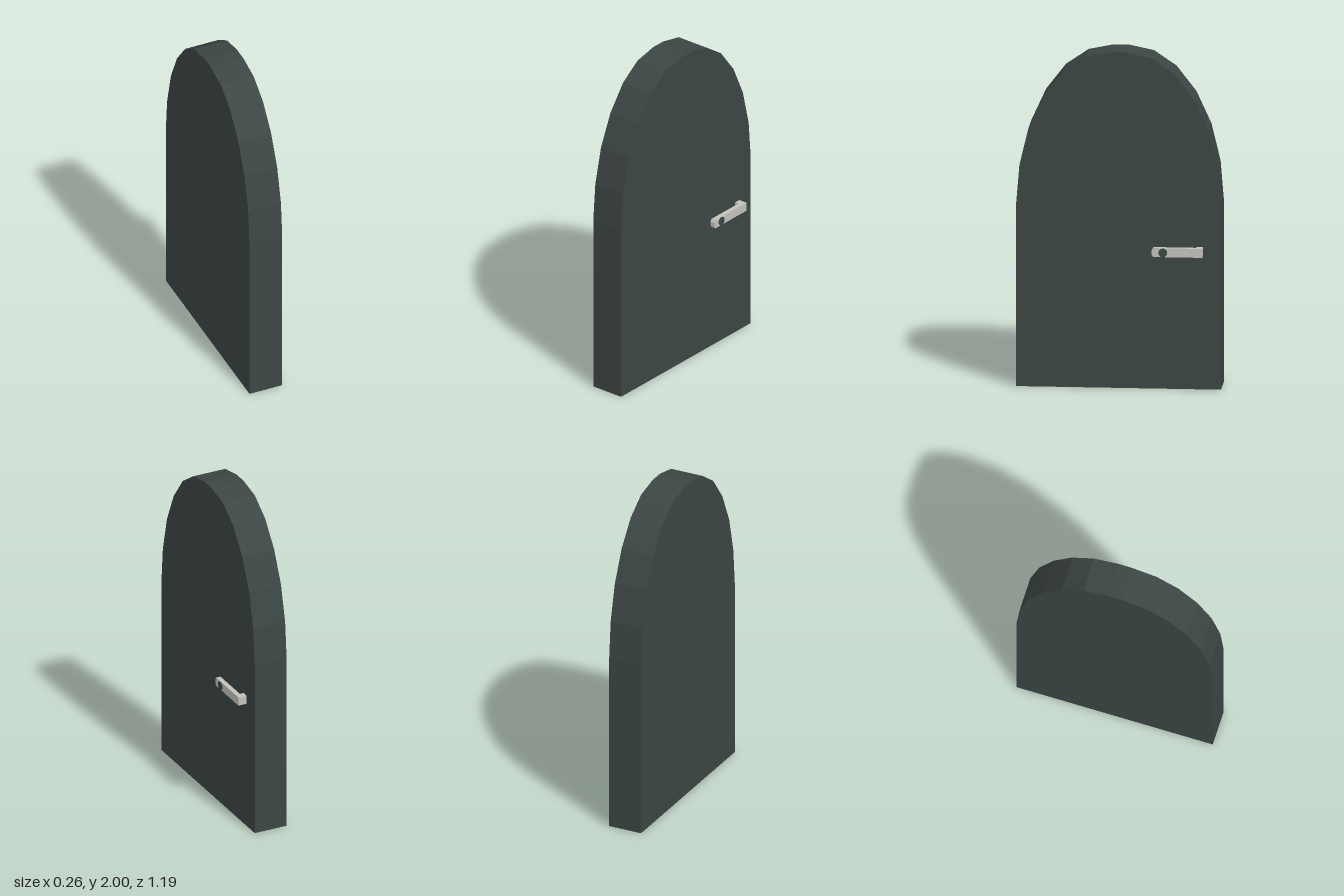
import * as THREE from 'three';

// Extrudes an outline of [z, y] points along x, from x0 to x1
function slab(points, x0, x1) {
  const shape = new THREE.Shape(points.map(([z, y]) => new THREE.Vector2(-z, y)));
  const geometry = new THREE.ExtrudeGeometry(shape, { depth: x1 - x0, bevelEnabled: false });
  return geometry.rotateY(Math.PI / 2).translate(x0, 0, 0);
}

export function createModel() {
  const group = new THREE.Group();
  const slate = new THREE.MeshStandardMaterial({ color: 0x3c4644 });
  slate.name = 'dark slate';
  const metal = new THREE.MeshStandardMaterial({ color: 0xc4c2bc });
  metal.name = 'pale metal';

  const add = (name, geometry, material, parent = group) => {
    const mesh = new THREE.Mesh(geometry, material);
    mesh.name = name;
    parent.add(mesh);
  };

  // Arched door leaf: one half of the outline, mirrored
  const half = [
    [0.597, 0], [0.597, 1.09], [0.578, 1.32], [0.525, 1.54],
    [0.438, 1.73], [0.322, 1.88], [0.19, 1.97], [0.045, 2],
  ];
  const outline = [...half, ...half.map(([z, y]) => [-z, y]).reverse()];
  add('doorLeaf', slab(outline, -0.134, 0.074), slate);

  // Lever handle: stem out of the door, bar with a chamfered tip
  const handle = new THREE.Group();
  handle.name = 'handle';
  group.add(handle);
  const low = 0.796, high = 0.849;
  add('handleStem', new THREE.BoxGeometry(0.03, high - low, 0.038)
    .translate(0.084, (low + high) / 2, -0.473), metal, handle);
  const bar = [
    [-0.492, low], [-0.206, low], [-0.197, low + 0.013],
    [-0.197, high - 0.013], [-0.206, high], [-0.492, high],
  ];
  add('handleBar', slab(bar, 0.098, 0.127), metal, handle);

  // Dark round button on the bar
  add('handleButton', new THREE.CylinderGeometry(0.026, 0.026, 0.005, 16)
    .rotateZ(-Math.PI / 2).translate(0.1275, 0.822, -0.262), slate, handle);

  return group;
}
